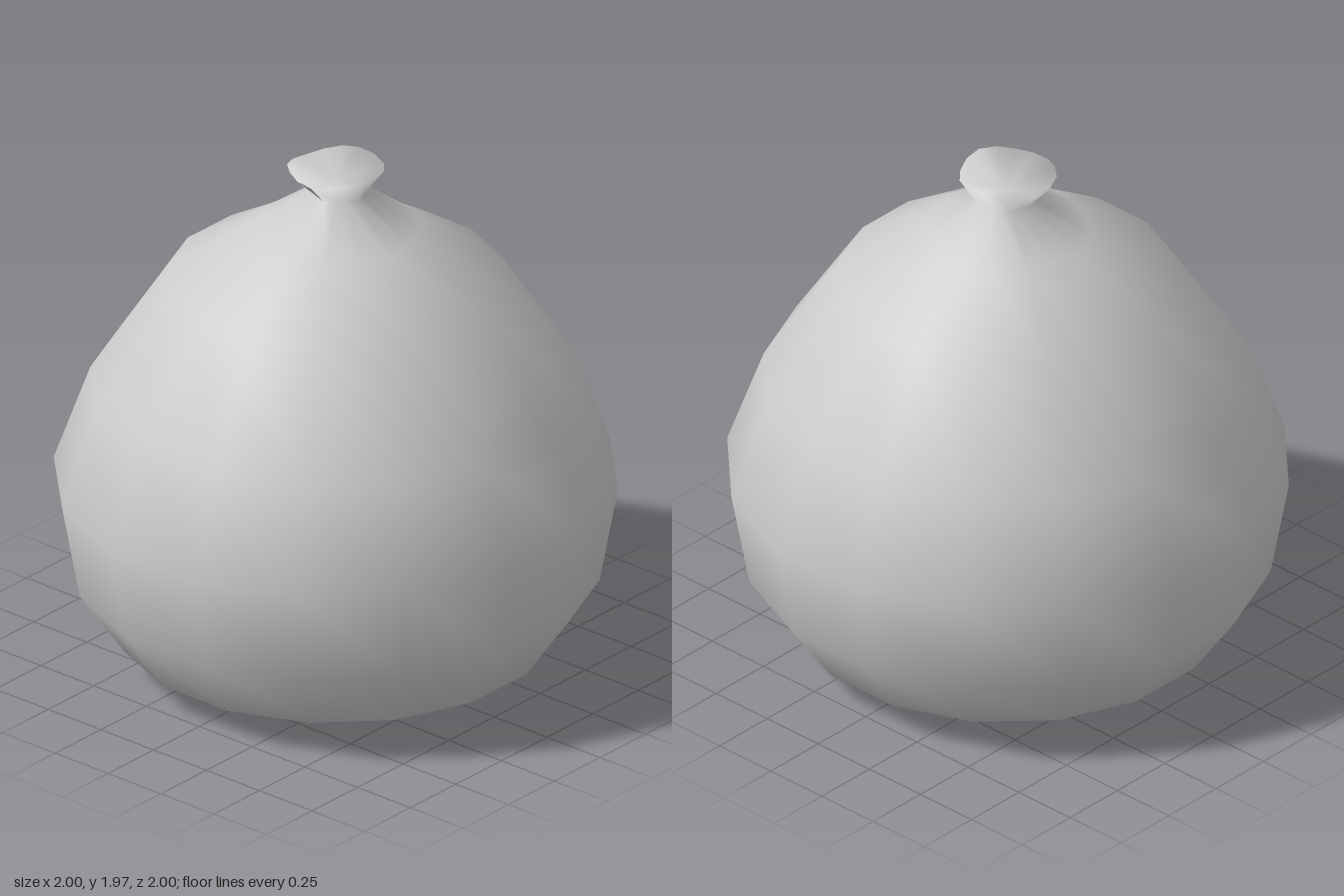
import * as THREE from 'three';

const SIDES = 16;

// Cross-sections from the floor up, over the rim and down into the mouth.
// r: flat-to-flat half width, fold: pleat depth, wave: uneven rim height
const RINGS = [
  { r: 0, y: 0 },
  { r: 0.43, y: 0 },
  { r: 0.77, y: 0.12 },
  { r: 0.935, y: 0.365 },
  { r: 1, y: 0.735 },
  { r: 0.87, y: 1.105 },
  { r: 0.6, y: 1.525 },
  { r: 0.295, y: 1.72, fold: 0.012 },
  { r: 0.1, y: 1.86, z: -0.015, fold: 0.008 },
  { r: 0.172, y: 1.955, fold: 0.003, wave: 0.009 },
  { r: 0, y: 1.89, z: -0.01 },
];

function sackGeometry() {
  const positions = [];
  const starts = [];
  const indices = [];

  for (const { r, y, z = 0, fold = 0, wave = 0 } of RINGS) {
    starts.push(positions.length / 3);
    const count = r === 0 ? 1 : SIDES;
    for (let i = 0; i < count; i++) {
      const a = ((i + 0.5) / SIDES) * Math.PI * 2;
      const radius = r / Math.cos(Math.PI / SIDES) + fold * Math.sin(a * 5 + 0.6);
      positions.push(
        Math.cos(a) * radius,
        y + wave * (Math.sin(a * 3 + 0.8) + 0.5 * Math.cos(a)),
        Math.sin(a) * radius + z
      );
    }
  }

  // Join neighbouring rings; the two closed ends share one centre point
  const at = (j, i) => starts[j] + (RINGS[j].r === 0 ? 0 : i % SIDES);
  for (let j = 0; j < RINGS.length - 1; j++) {
    for (let i = 0; i < SIDES; i++) {
      const a = at(j, i), b = at(j, i + 1);
      const c = at(j + 1, i), d = at(j + 1, i + 1);
      if (c !== d) indices.push(a, c, d);
      if (a !== b) indices.push(a, d, b);
    }
  }

  const geometry = new THREE.BufferGeometry();
  geometry.setAttribute('position', new THREE.Float32BufferAttribute(positions, 3));
  geometry.setIndex(indices);
  geometry.computeVertexNormals();
  return geometry;
}

export function createModel() {
  const group = new THREE.Group();
  group.name = 'tiedSack';
  // Full round body, pinched neck and flared mouth in one smooth skin
  const sack = new THREE.Mesh(
    sackGeometry(),
    new THREE.MeshStandardMaterial({ color: 0xcccccc })
  );
  sack.name = 'sack';
  group.add(sack);
  return group;
}
